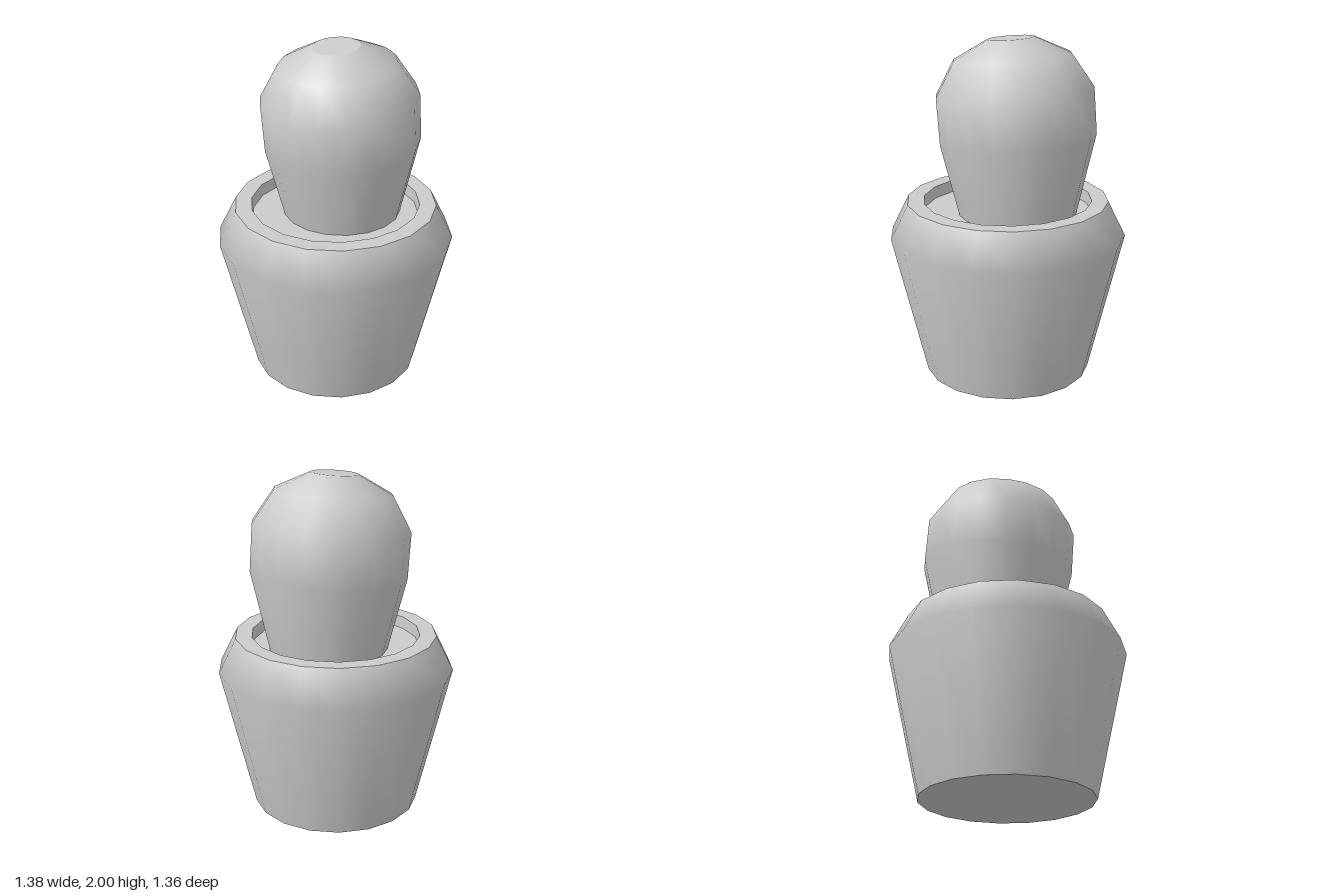
import * as THREE from 'three';
import { mergeVertices } from 'three/addons/utils/BufferGeometryUtils.js';

const SIDES = 18;
const material = new THREE.MeshStandardMaterial({ color: 0xcccccc });

// Turn a profile of [radius, height] points, with a corner on the x axis
function turn(profile) {
  const points = profile.map(([r, y]) => new THREE.Vector2(r, y));
  return new THREE.LatheGeometry(points, SIDES, Math.PI / 2);
}

function part(name, geometry) {
  const mesh = new THREE.Mesh(geometry, material);
  mesh.name = name;
  return mesh;
}

// Tilt every ring above the foot forward, so the plant bends slightly
const PIVOT = 1.42, LEAN = 0.087;
function bend(geometry) {
  geometry.deleteAttribute('uv');
  geometry.deleteAttribute('normal');
  const bent = mergeVertices(geometry, 1e-4);
  const pos = bent.attributes.position;
  const axis = new THREE.Vector3(1, 0, 0);
  const v = new THREE.Vector3();
  for (let i = 0; i < pos.count; i++) {
    v.fromBufferAttribute(pos, i);
    if (v.y > 1.2) {
      v.y -= PIVOT;
      v.applyAxisAngle(axis, LEAN);
      v.y += PIVOT;
    }
    pos.setXYZ(i, v.x, v.y, v.z);
  }
  bent.computeVertexNormals();
  return bent;
}

export function createModel() {
  const model = new THREE.Group();
  model.name = 'pottedCactus';

  // Pot: separate pieces keep the rim and base edges sharp
  const pot = new THREE.Group();
  pot.name = 'pot';
  pot.add(
    part('potBase', turn([[0, 0], [0.493, 0]])),
    part('potWall', turn([[0.493, 0], [0.69, 0.847], [0.588, 1.05]])),
    part('potRim', turn([[0.588, 1.05], [0.492, 1.05]])),
    part('potInnerWall', turn([[0.492, 1.05], [0.487, 0.98]])),
    part('soil', turn([[0.487, 0.98], [0, 0.98]])),
  );

  // Cactus: tapered stem swelling into a domed head with a flat tip
  const cactus = new THREE.Group();
  cactus.name = 'cactus';
  cactus.position.set(-0.01, 0, -0.065);
  cactus.add(
    part('cactusBody', bend(turn([
      [0.341, 0.97], [0.45, 1.425], [0.45, 1.693], [0.333, 1.887], [0.134, 1.988],
    ]))),
    part('cactusTip', bend(turn([[0.134, 1.988], [0, 1.988]]))),
  );

  model.add(pot, cactus);
  return model;
}
